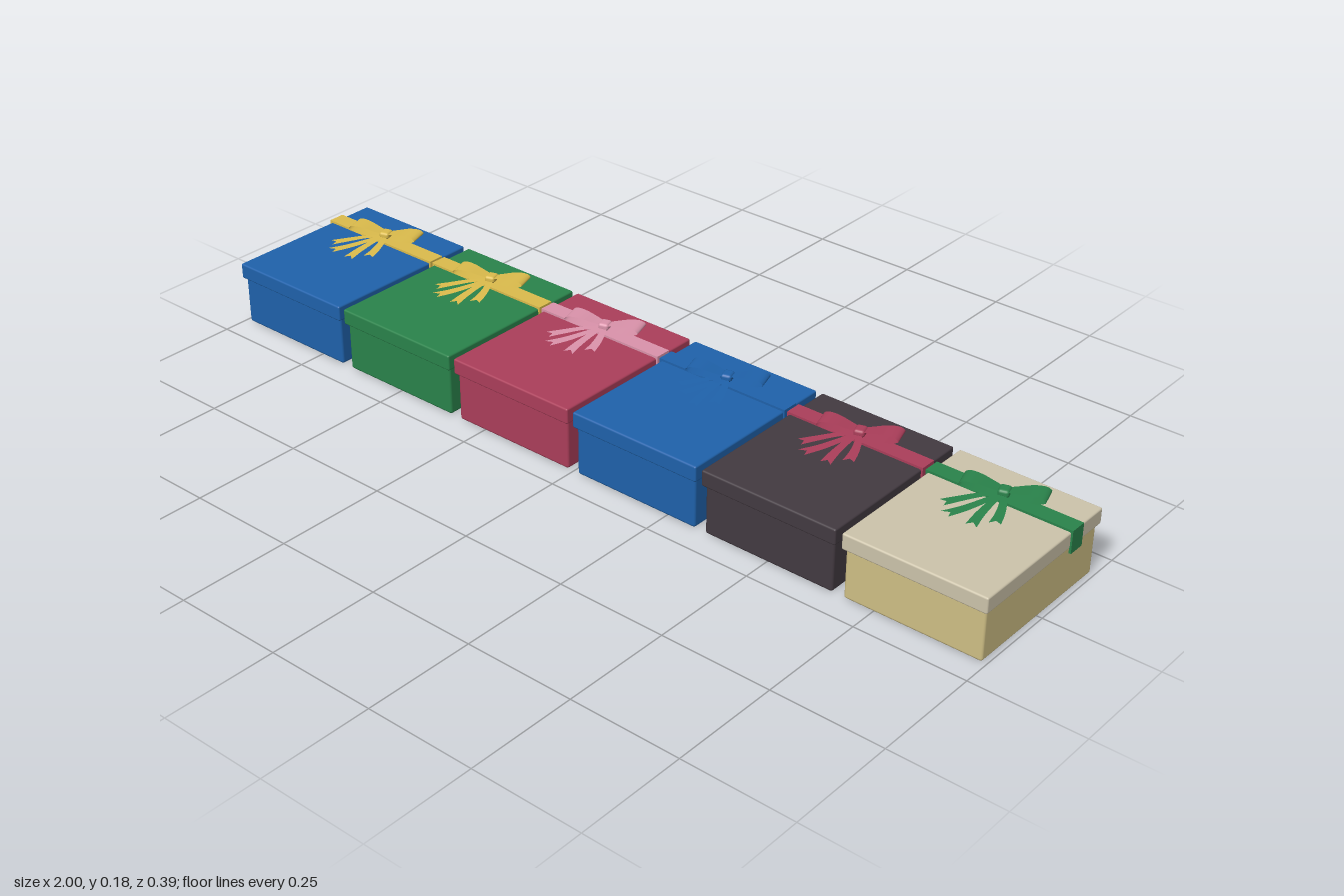
import * as THREE from 'three';
import { RoundedBoxGeometry } from 'three/addons/geometries/RoundedBoxGeometry.js';

const PITCH = 0.3344;
const RIBBON_Z = -0.101;

function paint(name, color) {
  return new THREE.MeshStandardMaterial({ name, color, side: THREE.DoubleSide });
}

function add(parent, name, geometry, material, x = 0, y = 0, z = 0) {
  const mesh = new THREE.Mesh(geometry, material);
  mesh.name = name;
  mesh.position.set(x, y, z);
  parent.add(mesh);
  return mesh;
}

// Flat band swept along a curve; side is the direction of its width,
// notch pulls the middle of the far end back into a swallowtail.
function strip(points, side, widthAt, steps, notch = 0) {
  const curve = new THREE.CatmullRomCurve3(points.map((p) => new THREE.Vector3(...p)));
  const geometry = new THREE.PlaneGeometry(1, 1, 2, steps);
  const pos = geometry.attributes.position;
  for (let i = 0; i <= steps; i++) {
    const t = i / steps;
    for (let j = 0; j < 3; j++) {
      const at = i === steps && j === 1 ? 1 - notch : t;
      const p = curve.getPoint(at).addScaledVector(side, (j - 1) * 0.5 * widthAt(t));
      pos.setXYZ(i * 3 + j, p.x, p.y, p.z);
    }
  }
  geometry.computeVertexNormals();
  return geometry;
}

function makeBow(material) {
  const bow = new THREE.Group();
  bow.name = 'bow';

  // Two flared loops and the knot, turned slightly on the lid
  const loops = new THREE.Group();
  loops.name = 'bowLoops';
  loops.rotation.y = 0.3;
  for (const s of [-1, 1]) {
    const path = [[0, 0.157, 0], [0.03, 0.156, 0], [0.062, 0.159, 0], [0.085, 0.168, 0],
      [0.078, 0.175, 0], [0.055, 0.176, 0], [0.025, 0.169, 0], [0, 0.163, 0]]
      .map(([x, y, z]) => [s * x, y, z]);
    const flare = (t) => 0.018 + 0.028 * Math.sin(Math.PI * t);
    add(loops, s < 0 ? 'rightLoop' : 'leftLoop',
      strip(path, new THREE.Vector3(0, 0, 1), flare, 24), material);
  }
  add(loops, 'knot', new RoundedBoxGeometry(0.024, 0.016, 0.028, 2, 0.006), material, 0, 0.161, 0);
  bow.add(loops);

  // Four loose tails fanning towards the front
  const ends = [[-0.075, 0.100], [-0.048, 0.130], [0.012, 0.132], [0.042, 0.098]];
  ends.forEach(([x, z], i) => {
    const side = new THREE.Vector3(z, 0, -x).normalize();
    const bend = i % 2 ? 0.004 : -0.004;
    const path = [[0, 0.158, 0.004], [x * 0.35 + bend, 0.157, z * 0.35],
      [x * 0.7 + bend, 0.154 + i * 0.0005, z * 0.7], [x, 0.153 + i * 0.0005, z]];
    add(bow, 'tail' + (i + 1), strip(path, side, (t) => 0.011 + 0.012 * t, 10, 0.1), material);
  });
  bow.position.z = RIBBON_Z - 0.003;
  return bow;
}

function makeGift(bodyPaint, lidPaint, ribbonPaint) {
  const gift = new THREE.Group();
  gift.name = 'giftBox';
  add(gift, 'boxBody', new RoundedBoxGeometry(0.308, 0.122, 0.376, 2, 0.006), bodyPaint, 0, 0.061, 0);
  add(gift, 'lid', new RoundedBoxGeometry(0.32, 0.036, 0.39, 2, 0.004), lidPaint, 0, 0.129, 0);

  // Ribbon band over the lid and down both ends
  add(gift, 'ribbonTop', new THREE.BoxGeometry(0.328, 0.006, 0.038), ribbonPaint, 0, 0.149, RIBBON_Z);
  for (const s of [-1, 1]) {
    add(gift, 'ribbonEnd', new THREE.BoxGeometry(0.005, 0.049, 0.038), ribbonPaint,
      s * 0.1615, 0.1255, RIBBON_Z);
  }
  gift.add(makeBow(ribbonPaint));
  return gift;
}

export function createModel() {
  const model = new THREE.Group();
  model.name = 'giftBoxRow';

  const blue = paint('blue', 0x1f62ab);
  const green = paint('green', 0x2a834b);
  const crimson = paint('crimson', 0xab3e5a);
  const charcoal = paint('charcoal', 0x433a41);
  const cream = paint('cream', 0xcdc4ab);
  const tan = paint('tan', 0xcfbf85);
  const yellow = paint('yellow', 0xdcbc4c);
  const pink = paint('pink', 0xdb93ab);

  // Body, lid and ribbon colours from right to left
  const gifts = [
    [blue, blue, yellow],
    [green, green, yellow],
    [crimson, crimson, pink],
    [blue, blue, blue],
    [charcoal, charcoal, crimson],
    [tan, cream, green],
  ];
  gifts.forEach((colours, i) => {
    const gift = makeGift(...colours);
    gift.position.x = (i - 2.5) * PITCH;
    model.add(gift);
  });
  return model;
}
